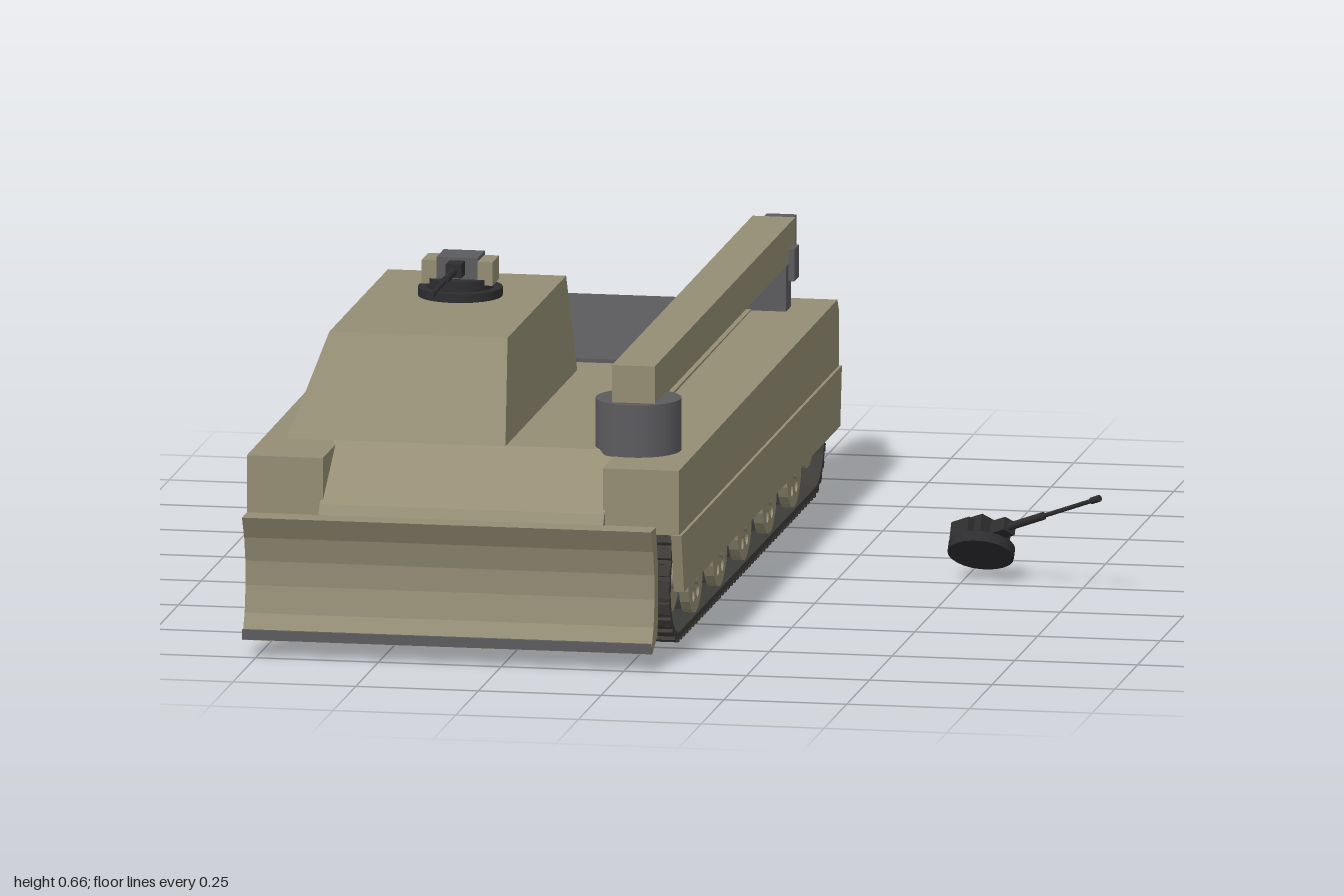
import * as THREE from 'three';
import { mergeGeometries } from 'three/addons/utils/BufferGeometryUtils.js';

const CX = -0.365; // centre line of the vehicle

export function createModel() {
  const root = new THREE.Group();
  const mat = (name, color) => Object.assign(new THREE.MeshStandardMaterial({ color }), { name });
  const olive = mat('olive paint', 0x958e75);
  const grey = mat('grey metal', 0x5c5c5f);
  const black = mat('black metal', 0x2e2e30);
  const tread = mat('track steel', 0x3c3b38);

  const add = (parent, name, geo, material) => {
    const m = new THREE.Mesh(geo, material);
    m.name = name;
    parent.add(m);
    return m;
  };
  // box given by its min and max corners
  const box = (x0, x1, y0, y1, z0, z1) =>
    new THREE.BoxGeometry(x1 - x0, y1 - y0, z1 - z0)
      .translate((x0 + x1) / 2, (y0 + y1) / 2, (z0 + z1) / 2);
  // side profile of [z, y] points, extruded across x0..x1
  const prism = (pts, x0, x1) =>
    new THREE.ExtrudeGeometry(new THREE.Shape(pts.map(p => new THREE.Vector2(...p))),
      { depth: x1 - x0, bevelEnabled: false }).rotateY(-Math.PI / 2).translate(x1, 0, 0);
  const rod = (a, b, r, n = 12) => {
    const from = new THREE.Vector3(...a), dir = new THREE.Vector3(...b).sub(from);
    const q = new THREE.Quaternion().setFromUnitVectors(new THREE.Vector3(0, 1, 0), dir.clone().normalize());
    const mid = from.addScaledVector(dir, 0.5);
    return new THREE.CylinderGeometry(r, r, dir.length(), n).applyQuaternion(q).translate(mid.x, mid.y, mid.z);
  };

  // hull
  add(root, 'hull', prism([[0.65, 0.38], [-0.9, 0.38], [-0.955, 0.36], [-0.98, 0.27], [-0.9, 0.12],
    [0.74, 0.12], [0.83, 0.25], [0.81, 0.28]], CX - 0.29, CX + 0.29), olive);
  add(root, 'engineDeckPanel', box(-0.575, -0.145, 0.38, 0.388, -0.865, -0.215), grey);

  // running gear, one set per side
  const zF = 0.68, zR = -0.81, cy = 0.121, r = 0.107;
  const wheelShape = new THREE.Shape().absarc(0, 0, 0.08, 0, Math.PI * 2);
  for (let i = 0; i < 6; i++) {
    const a = i * Math.PI / 3;
    wheelShape.holes.push(new THREE.Path()
      .absarc(Math.cos(a) * 0.047, Math.sin(a) * 0.047, 0.013, 0, Math.PI * 2, true));
  }
  const wheelFace = new THREE.ExtrudeGeometry(wheelShape, { depth: 0.02, bevelEnabled: false, curveSegments: 10 });
  const disc = (rad, w) => new THREE.CylinderGeometry(rad, rad, w, 24).rotateZ(Math.PI / 2);

  // point and travel angle at distance s along the track loop
  const straight = zF - zR, bend = Math.PI * r, loop = 2 * (straight + bend);
  const trackAt = s => {
    if (s < straight) return [zR + s, cy - r, 0];
    s -= straight;
    if (s < bend) return [zF + r * Math.sin(s / r), cy - r * Math.cos(s / r), s / r];
    s -= bend;
    if (s < straight) return [zF - s, cy + r, Math.PI];
    const t = (s - straight) / r;
    return [zR - r * Math.sin(t), cy + r * Math.cos(t), Math.PI + t];
  };

  for (const side of [-1, 1]) {
    const g = new THREE.Group();
    g.name = side > 0 ? 'leftSide' : 'rightSide';
    root.add(g);
    const span = (a, b) => side > 0 ? [CX + a, CX + b] : [CX - b, CX - a];
    const x = CX + side * 0.355;

    add(g, 'sponson', prism([[0.8, 0.372], [-0.945, 0.378], [-0.965, 0.35], [-0.963, 0.24], [0.8, 0.24]],
      ...span(0.285, 0.44)), olive);
    add(g, 'sideSkirt', prism([[0.805, 0.24], [-0.963, 0.24], [-0.945, 0.12], [0.775, 0.12]],
      ...span(0.425, 0.446)), olive);
    const [lx0, lx1] = span(0.385, 0.415);
    add(g, 'tailLight', box(lx0, lx1, 0.33, 0.36, -0.985, -0.96), black);

    // track links with raised pads
    const links = [], n = 112;
    for (let i = 0; i < n; i++) {
      const [z, y, a] = trackAt(i / n * loop);
      const link = mergeGeometries([
        new THREE.BoxGeometry(0.13, 0.012, loop / n * 1.05),
        new THREE.BoxGeometry(0.13, 0.012, 0.016).translate(0, -0.008, 0),
      ]);
      links.push(link.rotateX(-a).translate(x, y, z));
    }
    add(g, 'track', mergeGeometries(links), tread);

    // road wheels, with idler and sprocket at the ends
    for (const z of [0.48, 0.21, -0.06, -0.335, -0.605]) {
      const w = new THREE.Group();
      w.name = 'roadWheel';
      w.position.set(x, 0.1, z);
      g.add(w);
      add(w, 'wheelCore', disc(0.074, 0.085), grey);
      for (const s of [-1, 1])
        add(w, 'wheelFace', wheelFace, olive).position.x = s > 0 ? 0.04 : -0.06;
      w.children.slice(1).forEach(m => { m.rotation.y = Math.PI / 2; });
      add(w, 'wheelHub', disc(0.022, 0.135), olive);
    }
    for (const [z, name] of [[zF, 'idler'], [zR, 'sprocket']]) {
      const w = add(g, name, disc(0.075, 0.1), olive);
      w.position.set(x, 0.135, z);
      add(w, 'hub', disc(0.028, 0.125), olive);
      if (name === 'sprocket') {
        for (let i = 0; i < 12; i++)
          add(w, 'tooth', new THREE.BoxGeometry(0.06, 0.018, 0.018)
            .translate(0, 0.08, 0).rotateX(i * Math.PI / 6), olive);
      }
    }

    // blade arms and rear tow hooks
    const [ax0, ax1] = span(0.225, 0.262);
    add(g, 'lowerBladeArm', box(ax0, ax1, 0.095, 0.13, 0.74, 0.92), grey);
    add(g, 'upperBladeRam', rod([CX + side * 0.175, 0.225, 0.79], [CX + side * 0.175, 0.2, 0.93], 0.013), grey);
    const hx = CX + side * 0.14;
    add(g, 'towHook', box(hx - 0.011, hx + 0.011, 0.178, 0.2, -1, -0.93), black);
  }

  // dozer blade
  const blade = new THREE.Group();
  blade.name = 'dozerBlade';
  root.add(blade);
  add(blade, 'bladePlate', prism([[1, 0.285], [0.975, 0.24], [0.962, 0.19], [0.96, 0.14], [0.97, 0.085], [0.998, 0.035],
    [0.985, 0.033], [0.925, 0.06], [0.92, 0.2], [0.945, 0.285]], -0.778, 0.055), olive);
  add(blade, 'cuttingEdge', box(-0.778, 0.055, 0.036, 0.056, 0.992, 1), grey);
  for (const x of [0.315, 0.175, 0.105])
    for (const s of [-1, 1])
      add(blade, 'bladeRib', box(CX + s * x - 0.006, CX + s * x + 0.006, 0.07, 0.22, 0.9, 0.93), grey);

  // cab with sloping walls: the top corners are drawn inwards
  const cab = box(-0.75, -0.305, 0.38, 0.578, -0.135, 0.655);
  const p = cab.attributes.position;
  for (let i = 0; i < p.count; i++) {
    if (p.getY(i) < 0.5) continue;
    p.setX(i, p.getX(i) < -0.5 ? -0.685 : -0.322);
    p.setZ(i, p.getZ(i) < 0 ? -0.105 : 0.54);
  }
  cab.computeVertexNormals();
  add(root, 'cab', cab, olive);

  // crane
  const crane = new THREE.Group();
  crane.name = 'crane';
  root.add(crane);
  add(crane, 'cranePivot', new THREE.CylinderGeometry(0.086, 0.086, 0.108, 32).translate(-0.044, 0.425, 0.6), grey);
  add(crane, 'boom', box(-0.087, 0, 0.474, 0.555, -0.887, 0.66), olive);
  add(crane, 'boomRam', rod([-0.044, 0.415, 0.54], [-0.044, 0.475, 0.28], 0.016), grey);
  add(crane, 'boomTip', box(-0.074, -0.014, 0.488, 0.543, -0.975, -0.88), grey);
  add(crane, 'hookBlock', box(-0.07, -0.018, 0.425, 0.482, -0.998, -0.942), grey);
  add(crane, 'hookCable', box(-0.05, -0.038, 0.475, 0.5, -0.972, -0.955), grey);
  add(crane, 'boomRest', box(-0.085, -0.004, 0.375, 0.475, -0.86, -0.808), grey);
  for (const [a, b] of [[-0.1, -0.088], [0.001, 0.013]])
    add(crane, 'boomRestFork', box(a, b, 0.44, 0.505, -0.86, -0.808), grey);

  // machine gun mount, pointing along its own +z
  const makeGun = (name, body) => {
    const g = new THREE.Group();
    g.name = name;
    add(g, 'gunRing', new THREE.CylinderGeometry(0.067, 0.067, 0.022, 24).translate(0, 0.011, 0), black);
    add(g, 'gunHousing', box(-0.042, 0.042, 0.02, 0.066, -0.045, 0.035), body);
    add(g, 'gunReceiver', box(-0.016, 0.016, 0.032, 0.06, 0.03, 0.075), black);
    add(g, 'gunJacket', rod([0, 0.045, 0.07], [0, 0.045, 0.17], 0.008), black);
    add(g, 'gunBarrel', rod([0, 0.045, 0.16], [0, 0.045, 0.325], 0.0045, 8), black);
    add(g, 'gunMuzzle', rod([0, 0.045, 0.305], [0, 0.045, 0.328], 0.007, 8), black);
    root.add(g);
    return g;
  };
  add(root, 'gunPlatform', new THREE.CylinderGeometry(0.085, 0.085, 0.02, 32).translate(-0.495, 0.586, 0.125), black);
  const roofGun = makeGun('roofGun', grey);
  roofGun.position.set(-0.495, 0.595, 0.125);
  for (const s of [-1, 1])
    add(roofGun, 'ammunitionBox', new THREE.BoxGeometry(0.03, 0.048, 0.072).translate(s * 0.057, 0.035, 0), olive);

  // spare gun, lying tilted beside the vehicle
  const spare = makeGun('spareGun', black);
  for (const s of [-1, 1])
    add(spare, 'sideBox', new THREE.BoxGeometry(0.016, 0.036, 0.05).translate(s * 0.05, 0.04, -0.01), black);
  const aim = new THREE.Vector3(0.81, 0.35, 0.47).normalize();
  const right = new THREE.Vector3(0, 0.8, -0.6).cross(aim).normalize();
  const up = aim.clone().cross(right);
  spare.quaternion.setFromRotationMatrix(new THREE.Matrix4().makeBasis(right, up, aim));
  spare.position.set(0.535, 0.052, -0.037);

  return root;
}
